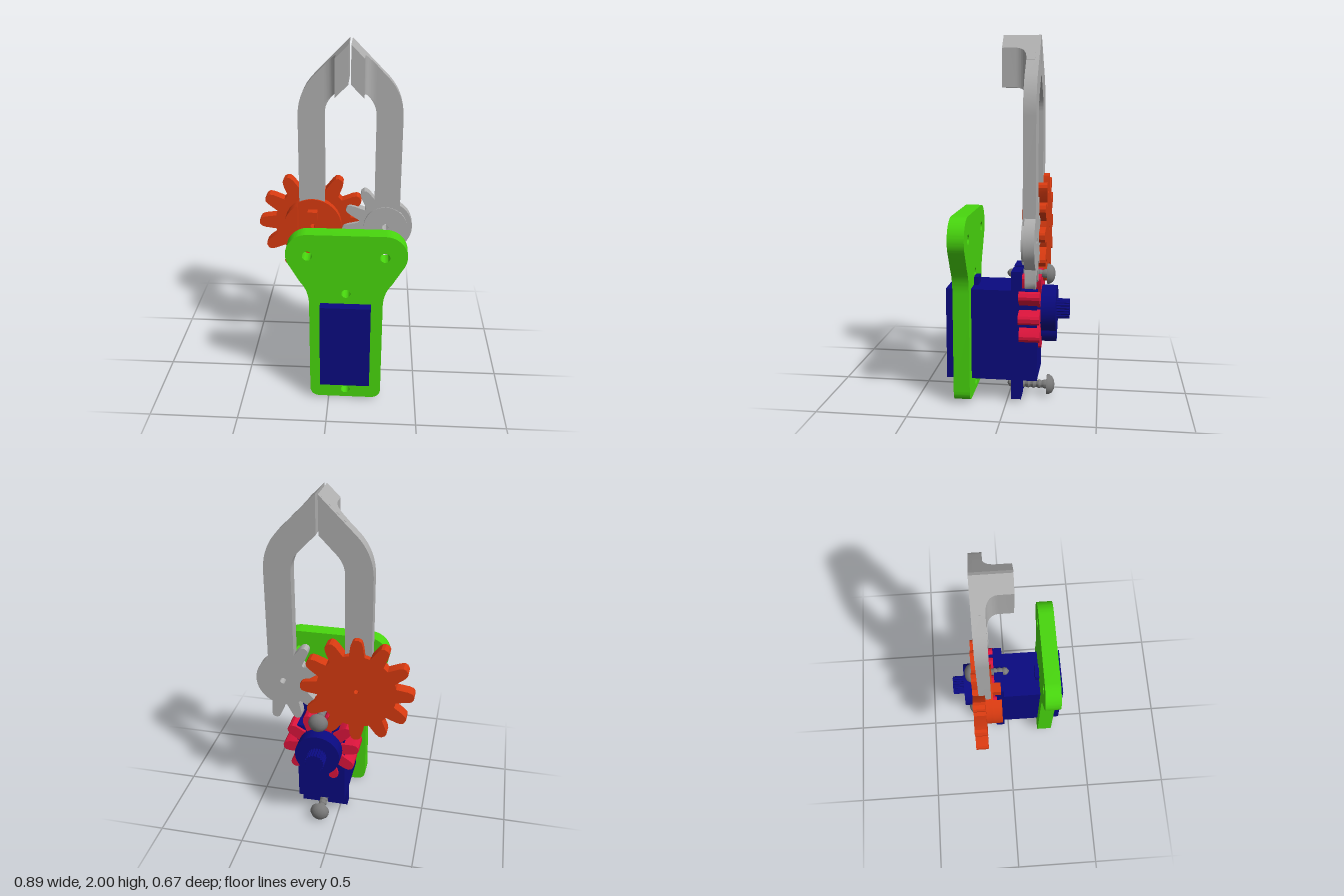
import * as THREE from 'three';
import { toCreasedNormals } from 'three/addons/utils/BufferGeometryUtils.js';

const mat = (name, color) => new THREE.MeshStandardMaterial({ name, color });
const CX = 0.097; // centre line of the gripper

export function createModel() {
  const green = mat('green', 0x48d60e);
  const navy = mat('navy', 0x0a0a80);
  const orange = mat('orange', 0xd83a10);
  const crimson = mat('crimson', 0xdc143c);
  const grey = mat('light grey', 0xb0b0b0);
  const steel = mat('steel grey', 0x7a7a7a);
  const model = new THREE.Group();

  const add = (name, geometry, material, parent = model) => {
    const mesh = new THREE.Mesh(toCreasedNormals(geometry, 0.6), material);
    mesh.name = name;
    parent.add(mesh);
    return mesh;
  };
  // Extrude a front-facing outline between two depths
  const plate = (shape, z0, z1) =>
    new THREE.ExtrudeGeometry(shape, { depth: z1 - z0, bevelEnabled: false, curveSegments: 16 }).translate(0, 0, z0);
  const box = (x0, x1, y0, y1, z0, z1) =>
    new THREE.BoxGeometry(x1 - x0, y1 - y0, z1 - z0).translate((x0 + x1) / 2, (y0 + y1) / 2, (z0 + z1) / 2);
  const hole = (x, y, r) => new THREE.Path().absarc(x, y, r, 0, Math.PI * 2, true);
  const disc = (x, y, r, holeR = 0) => {
    const s = new THREE.Shape().absarc(x, y, r, 0, Math.PI * 2, false);
    if (holeR) s.holes.push(hole(x, y, holeR));
    return s;
  };
  // Gear outline with teeth at the given angles (degrees, ascending)
  const gear = (x, y, root, tip, wRoot, wTip, angles, holeR = 0) => {
    const pts = [];
    const half = Math.asin(wRoot / root);
    angles.forEach((deg, i) => {
      const a = THREE.MathUtils.degToRad(deg);
      const mid = root + (tip - root) * 0.65;
      const tooth = [[root * Math.cos(half), -wRoot], [mid, -wTip], [tip - 0.1 * (tip - root), -wTip * 0.75], [tip, -wTip * 0.35]];
      const all = [...tooth, ...tooth.map(([r, w]) => [r, -w]).reverse()];
      for (const [r, w] of all) {
        pts.push(new THREE.Vector2(x + r * Math.cos(a) - w * Math.sin(a), y + r * Math.sin(a) + w * Math.cos(a)));
      }
      // root arc up to the next tooth
      const next = THREE.MathUtils.degToRad(i + 1 < angles.length ? angles[i + 1] : angles[0] + 360);
      const gap = next - a - 2 * half;
      const n = Math.max(2, Math.ceil(gap / 0.15));
      for (let k = 1; k < n; k++) {
        const t = a + half + gap * k / n;
        pts.push(new THREE.Vector2(x + root * Math.cos(t), y + root * Math.sin(t)));
      }
    });
    const s = new THREE.Shape(pts);
    if (holeR) s.holes.push(hole(x, y, holeR));
    return s;
  };
  const evenAngles = (n, start = 0) => Array.from({ length: n }, (_, i) => start + i * 360 / n);

  // Front mounting plate with servo window and screw holes
  const p = new THREE.Shape();
  p.moveTo(CX - 0.1425, 0.015);
  p.lineTo(CX + 0.1425, 0.015);
  p.quadraticCurveTo(CX + 0.2025, 0.015, CX + 0.2025, 0.075);
  p.lineTo(CX + 0.2025, 0.63);
  p.quadraticCurveTo(CX + 0.2025, 0.715, CX + 0.25, 0.77);
  p.absarc(CX + 0.208, 0.935, 0.12, -0.6, Math.PI / 2, false);
  p.absarc(CX - 0.208, 0.935, 0.12, Math.PI / 2, Math.PI + 0.6, false);
  p.lineTo(CX - 0.25, 0.77);
  p.quadraticCurveTo(CX - 0.2025, 0.715, CX - 0.2025, 0.63);
  p.lineTo(CX - 0.2025, 0.075);
  p.quadraticCurveTo(CX - 0.2025, 0.015, CX - 0.1425, 0.015);
  const win = new THREE.Path();
  win.moveTo(-0.045, 0.13);
  win.lineTo(-0.045, 0.642);
  win.lineTo(0.235, 0.642);
  win.lineTo(0.235, 0.13);
  win.closePath();
  p.holes.push(win, hole(-0.113, 0.93, 0.027), hole(0.305, 0.93, 0.027), hole(CX, 0.705, 0.025), hole(CX, 0.067, 0.025));
  add('mountingPlate', plate(p, 0.195, 0.285), green);

  // Servo: case, slotted tabs, gearbox cap and splined shaft
  const servo = new THREE.Group();
  servo.name = 'servo';
  model.add(servo);
  add('servoCase', box(-0.045, 0.235, 0.13, 0.64, -0.168, 0.335), navy, servo);
  add('cableExit', box(0.05, 0.14, 0.6, 0.685, 0.17, 0.2), navy, servo);
  const tab = new THREE.Shape();
  tab.moveTo(-0.045, 0.02);
  tab.lineTo(CX - 0.018, 0.02);
  tab.lineTo(CX - 0.018, 0.05);
  tab.absarc(CX, 0.067, 0.03, Math.PI * 1.3, -Math.PI * 0.3, true);
  tab.lineTo(CX + 0.018, 0.02);
  tab.lineTo(0.235, 0.02);
  tab.lineTo(0.235, 0.745);
  tab.lineTo(CX + 0.018, 0.745);
  tab.absarc(CX, 0.7, 0.03, Math.PI * 0.3, Math.PI * 0.7, true);
  tab.lineTo(CX - 0.018, 0.745);
  tab.lineTo(-0.045, 0.745);
  tab.closePath();
  add('servoTabs', plate(tab, -0.08, -0.026), navy, servo);
  add('gearboxCap', plate(disc(0.095, 0.51, 0.13), -0.267, -0.16), navy, servo);
  add('gearboxBump', plate(disc(0.095, 0.385, 0.065), -0.266, -0.16), navy, servo);
  add('servoShaft', plate(gear(0.095, 0.51, 0.05, 0.056, 0.006, 0.004, evenAngles(20)), -0.338, -0.26), navy, servo);

  // Servo drive gear
  add('driveGear', plate(gear(0.093, 0.51, 0.125, 0.222, 0.035, 0.032, evenAngles(10, -4)), -0.185, -0.07), crimson);

  // Large gear with hub, finger stop and locating peg
  const big = new THREE.Group();
  big.name = 'largeGear';
  model.add(big);
  const gx = -0.115, gy = 0.93;
  add('largeGearTeeth', plate(gear(gx, gy, 0.222, 0.315, 0.042, 0.033, evenAngles(12), 0.013), -0.205, -0.137), orange, big);
  add('largeGearHub', plate(disc(gx, gy, 0.166, 0.013), -0.138, -0.095), orange, big);
  const stop = new THREE.Shape().absarc(gx, gy, 0.166, Math.PI - 1.05, Math.PI + 1.05, false);
  stop.closePath();
  add('fingerStop', plate(stop, -0.1, -0.048), orange, big);
  add('locatingPeg', box(-0.14, -0.085, 0.98, 1.035, -0.1, -0.048), orange, big);

  // Two mirrored gripper fingers, each with a filleted tip pad
  for (const [side, s, y0] of [['left', 1, 0.82], ['right', -1, 0.97]]) {
    const finger = new THREE.Group();
    finger.name = side + 'Finger';
    model.add(finger);
    const X = d => CX + s * d;
    const f = new THREE.Shape();
    f.moveTo(X(0.1425), y0);
    f.lineTo(X(0.1425), 1.59);
    f.quadraticCurveTo(X(0.1425), 1.65, X(0.1025), 1.695);
    f.lineTo(X(0.007), 1.795);
    f.lineTo(X(0.007), 2);
    f.lineTo(X(0.205), 1.8);
    f.quadraticCurveTo(X(0.2885), 1.71, X(0.2885), 1.58);
    f.lineTo(X(0.2885), y0);
    f.closePath();
    if (s > 0) f.holes.push(hole(0.305, 0.93, 0.018));
    add('fingerArm', plate(f, -0.172, -0.105), grey, finger);

    // Pad section drawn from above, raised, then sheared to the finger slope
    const q = new THREE.Shape();
    q.moveTo(X(0.007), 0.15);
    q.lineTo(X(0.007), -0.03);
    q.lineTo(X(0.077), -0.03);
    q.lineTo(X(0.077), 0.04);
    q.quadraticCurveTo(X(0.077), 0.105, X(0.142), 0.105);
    q.lineTo(X(0.142), 0.15);
    q.closePath();
    const pad = plate(q, 1.795, 2).rotateX(-Math.PI / 2);
    const v = pad.attributes.position;
    for (let i = 0; i < v.count; i++) v.setY(i, v.getY(i) - (Math.abs(v.getX(i) - CX) - 0.007));
    add('fingerTipPad', pad, grey, finger);
  }

  // Toothed sector at the foot of the left finger
  add('fingerGear', plate(gear(0.305, 0.93, 0.155, 0.25, 0.036, 0.028, [122, 154, 186, 218, 250, 282], 0.018), -0.172, -0.115), grey);
  add('fingerHub', plate(disc(0.305, 0.93, 0.125, 0.018), -0.13, -0.1), grey);

  // Servo screws: pan head at the back, threaded shank
  const profile = [[0, -0.257], [0.025, -0.254], [0.045, -0.243], [0.056, -0.225], [0.056, -0.213], [0.024, -0.211]];
  for (let i = 0; i < 14; i++) profile.push([i % 2 ? 0.019 : 0.025, -0.2 + i * 0.0155]);
  profile.push([0, 0.014]);
  for (const [name, y] of [['upperScrew', 0.707], ['lowerScrew', 0.06]]) {
    const screw = new THREE.LatheGeometry(profile.map(([r, h]) => new THREE.Vector2(r, h)), 24);
    add(name, screw.rotateX(Math.PI / 2).translate(CX, y, 0), steel);
  }
  return model;
}
